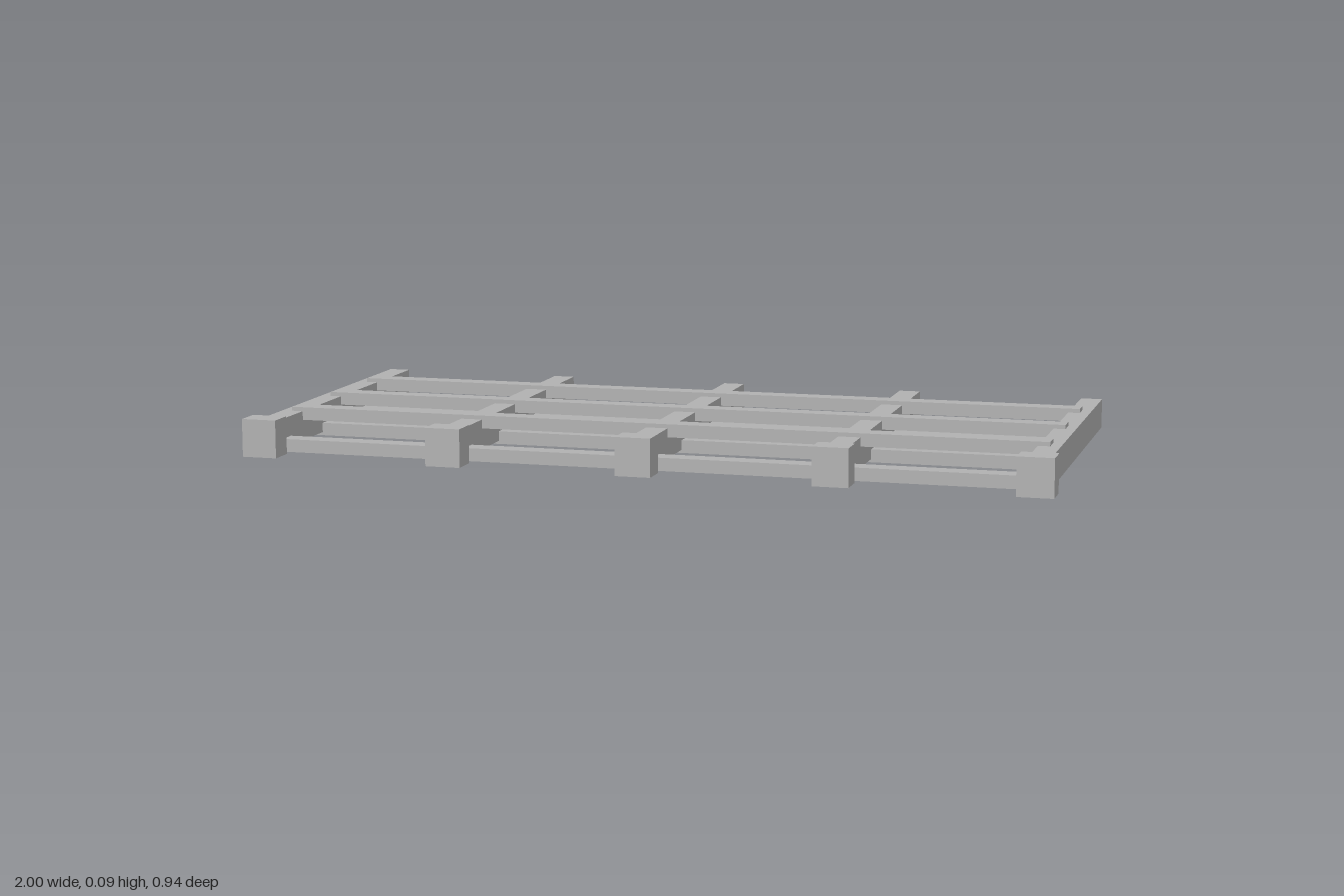
import * as THREE from 'three';

export function createModel() {
  const model = new THREE.Group();
  const grey = new THREE.MeshStandardMaterial({ color: 0xb2b2b2 });
  grey.name = 'plain grey';

  // Box given by its extents along each axis
  function beam(name, [x0, x1], [y0, y1], [z0, z1]) {
    const mesh = new THREE.Mesh(new THREE.BoxGeometry(x1 - x0, y1 - y0, z1 - z0), grey);
    mesh.position.set((x0 + x1) / 2, (y0 + y1) / 2, (z0 + z1) / 2);
    mesh.name = name;
    model.add(mesh);
  }

  // Five joists running front to back, each with a square end block
  for (let i = -2; i <= 2; i++) {
    const x = i * 0.478;
    beam('joist', [x - 0.027, x + 0.027], [0.01, 0.084], [-0.472, 0.407]);
    beam('endBlock', [x - 0.044, x + 0.044], [0, 0.094], [0.406, 0.472]);
  }

  // Crosswise slats, staggered between the top and the underside
  for (let i = 0; i < 3; i++) {
    const top = 0.24 - i * 0.25;
    const bottom = 0.365 - i * 0.25;
    beam('upperSlat', [-0.958, 0.958], [0.062, 0.094], [top - 0.0245, top + 0.0245]);
    beam('lowerSlat', [-0.958, 0.958], [0.002, 0.034], [bottom - 0.0245, bottom + 0.0245]);
  }

  return model;
}
